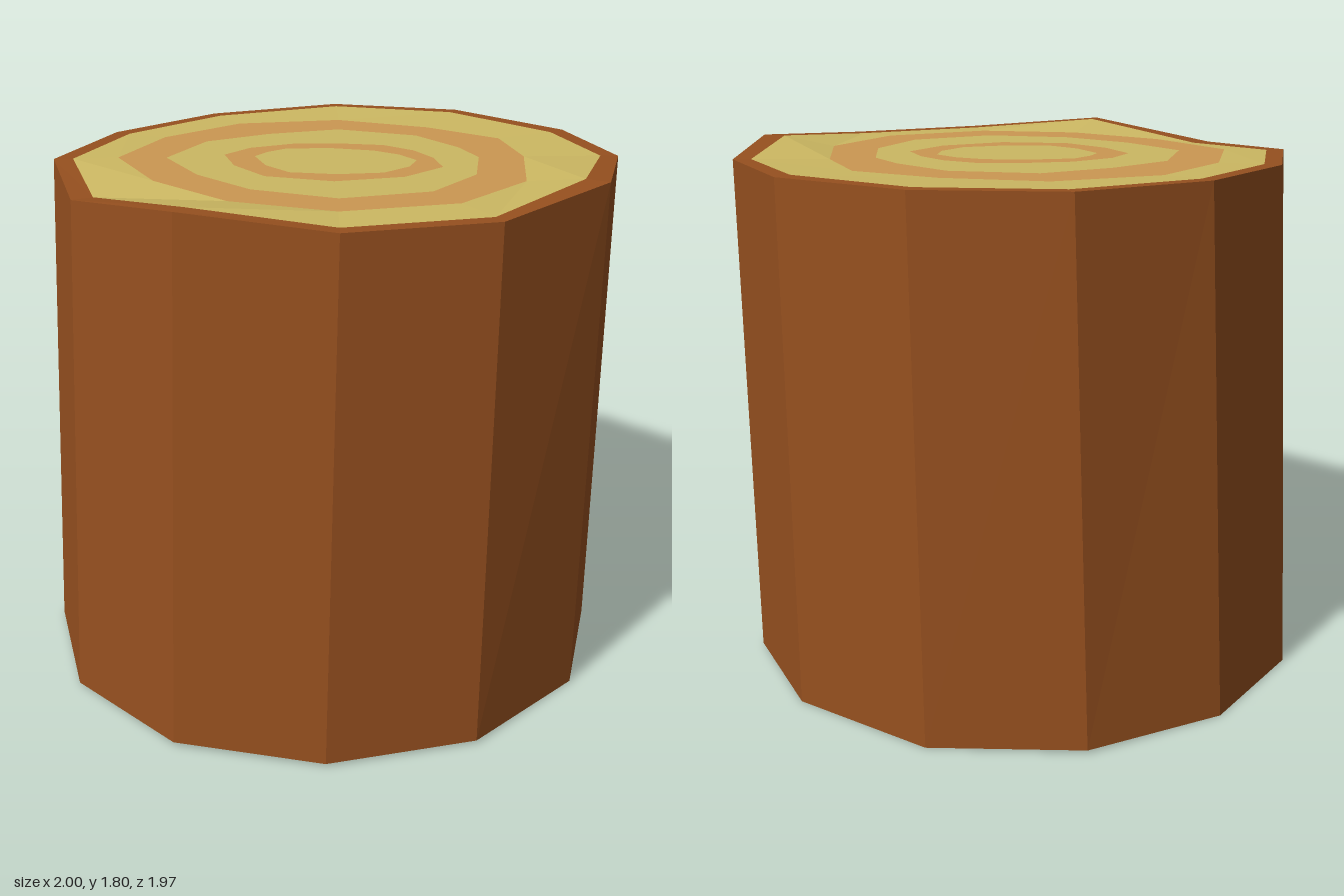
import * as THREE from 'three';

// Turns a flat list of x, z pairs into a loop of points; height is a number or one value per corner
function loop(xz, height) {
  const points = [];
  for (let i = 0; i < xz.length / 2; i++) {
    const y = Array.isArray(height) ? height[i] : height;
    points.push(new THREE.Vector3(xz[2 * i], y, xz[2 * i + 1]));
  }
  return points;
}

// Faceted strip between two loops of equal length, skipping collapsed triangles
function band(name, from, to, color) {
  const positions = [];
  const triangle = (a, b, c) => {
    if (a.equals(b) || b.equals(c) || c.equals(a)) return;
    for (const p of [a, b, c]) positions.push(p.x, p.y, p.z);
  };
  from.forEach((a, i) => {
    const j = (i + 1) % from.length;
    triangle(a, to[i], from[j]);
    triangle(from[j], to[i], to[j]);
  });
  const geometry = new THREE.BufferGeometry();
  geometry.setAttribute('position', new THREE.Float32BufferAttribute(positions, 3));
  geometry.computeVertexNormals();
  const mesh = new THREE.Mesh(geometry, new THREE.MeshStandardMaterial({ color, flatShading: true }));
  mesh.name = name;
  return mesh;
}

export function createModel() {
  const BARK = 0x96501f, WOOD = 0xccb862, RING = 0xcc9852;

  // Twelve-cornered trunk outlines, starting at -x and going round by the back
  const base = loop([-1, -0.02, -0.84, -0.48, -0.49, -0.83, 0, -0.985, 0.5, -0.85, 0.87, -0.46,
    0.985, 0, 0.86, 0.48, 0.49, 0.855, -0.01, 0.98, -0.51, 0.86, -0.87, 0.485],
  [0.01, 0, 0, 0.01, 0, 0, 0.01, 0, 0.01, 0.01, 0.015, 0.01]);
  const rimHeights = [1.765, 1.77, 1.775, 1.78, 1.78, 1.775, 1.775, 1.8, 1.765, 1.765, 1.8, 1.74];
  const rim = loop([-0.925, -0.02, -0.76, -0.45, -0.42, -0.78, 0.05, -0.95, 0.52, -0.82, 0.88, -0.45,
    1, 0, 0.88, 0.49, 0.51, 0.83, 0.03, 0.95, -0.45, 0.84, -0.8, 0.455], rimHeights);
  const woodEdge = loop([-0.86, -0.025, -0.71, -0.42, -0.395, -0.735, 0.055, -0.9, 0.495, -0.77,
    0.83, -0.405, 0.94, -0.005, 0.81, 0.445, 0.49, 0.775, 0.03, 0.89, -0.42, 0.785, -0.735, 0.42],
  rimHeights);

  // Growth ring outlines on the cut face
  const level = 1.77;
  const wideOuter = loop([-0.705, -0.02, -0.575, -0.355, -0.315, -0.605, 0.06, -0.67, 0.385, -0.525,
    0.63, -0.32, 0.68, -0.02, 0.64, 0.345, 0.405, 0.63, 0.03, 0.725, -0.305, 0.595, -0.555, 0.325], level);
  const wideInner = loop([-0.54, -0.015, -0.42, -0.28, -0.2, -0.41, 0.055, -0.49, 0.335, -0.375,
    0.47, -0.17, 0.525, -0.01, 0.49, 0.25, 0.33, 0.48, 0.035, 0.565, -0.24, 0.445, -0.42, 0.24], level);
  const smallOuter = loop([-0.345, -0.06, -0.26, -0.17, -0.105, -0.24, 0.055, -0.24, 0.21, -0.21,
    0.31, -0.12, 0.37, 0, 0.39, 0.14, 0.255, 0.28, 0.025, 0.34, -0.2, 0.265, -0.305, 0.105], level);
  const smallInner = loop([-0.24, -0.035, -0.2, -0.1, -0.13, -0.16, 0.03, -0.16, 0.17, -0.12,
    0.255, -0.055, 0.31, 0.035, 0.28, 0.13, 0.19, 0.22, 0.035, 0.24, -0.12, 0.21, -0.2, 0.105], level);

  // Single points repeated so the same strip builder can close both ends
  const heart = base.map(() => new THREE.Vector3(0.03, level, 0.03));
  const underside = base.map(() => new THREE.Vector3(0, 0.005, 0));

  const log = new THREE.Group();
  log.name = 'log';
  log.add(
    band('bottom', underside, base, BARK),
    band('bark', base, rim, BARK),
    band('barkRim', rim, woodEdge, BARK),
    band('outerWood', woodEdge, wideOuter, WOOD),
    band('wideGrowthRing', wideOuter, wideInner, RING),
    band('middleWood', wideInner, smallOuter, WOOD),
    band('smallGrowthRing', smallOuter, smallInner, RING),
    band('heartwood', smallInner, heart, WOOD),
  );
  return log;
}
